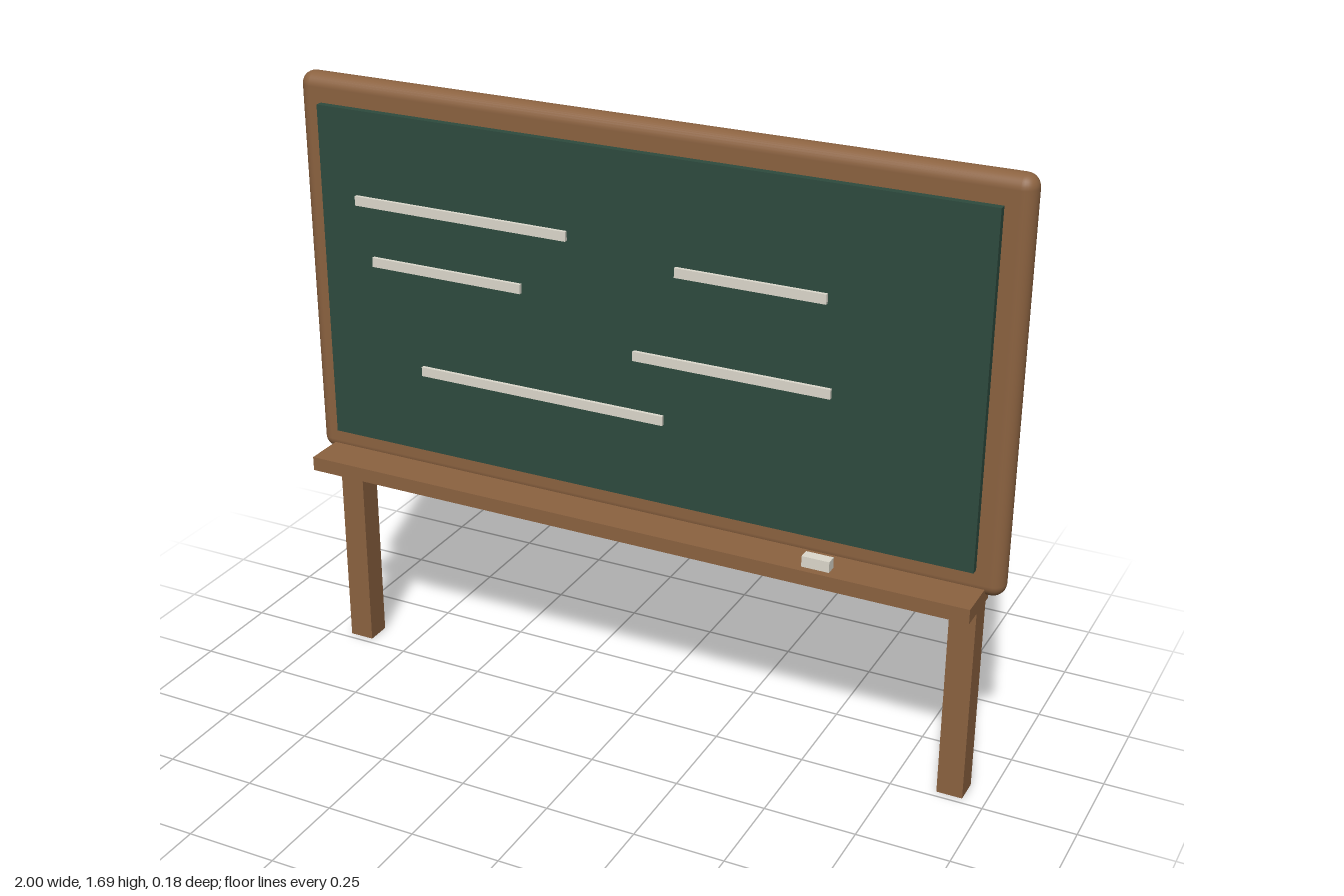
import * as THREE from 'three';
import { RoundedBoxGeometry } from 'three/addons/geometries/RoundedBoxGeometry.js';

export function createModel() {
  const model = new THREE.Group();
  model.name = 'chalkboard';

  const wood = new THREE.MeshStandardMaterial({ color: 0x8b6240 });
  const slate = new THREE.MeshStandardMaterial({ color: 0x2d4a3e });
  const chalk = new THREE.MeshStandardMaterial({ color: 0xdcd8cc });

  function add(name, geometry, material, x, y, z) {
    const mesh = new THREE.Mesh(geometry, material);
    mesh.name = name;
    mesh.position.set(x, y, z);
    model.add(mesh);
  }

  // Box given by its extents along each axis
  function addBox(name, material, [x0, x1], [y0, y1], [z0, z1]) {
    add(name, new THREE.BoxGeometry(x1 - x0, y1 - y0, z1 - z0), material,
      (x0 + x1) / 2, (y0 + y1) / 2, (z0 + z1) / 2);
  }

  // Rounded wooden frame and the writing surface set on its front
  add('frame', new RoundedBoxGeometry(2, 1.09, 0.07, 4, 0.035), wood, 0, 1.14, -0.055);
  addBox('writingSurface', slate, [-0.93, 0.93], [0.67, 1.61], [-0.035, 0]);

  // Chalk tray and a stick of chalk lying on it
  addBox('chalkTray', wood, [-0.955, 0.955], [0.58, 0.62], [-0.055, 0.09]);
  addBox('chalkStick', chalk, [0.505, 0.58], [0.62, 0.65], [0.04, 0.07]);

  // Legs
  for (const [name, side] of [['leftLeg', 1], ['rightLeg', -1]]) {
    add(name, new THREE.BoxGeometry(0.07, 0.62, 0.07), wood, side * 0.905, 0.31, -0.055);
  }

  // Chalk strokes: start x, end x, height
  const strokes = [
    [-0.82, -0.19, 1.365],
    [-0.775, -0.325, 1.2],
    [0.115, 0.52, 1.32],
    [0, 0.54, 1.075],
    [-0.635, 0.085, 0.91],
  ];
  strokes.forEach(([x0, x1, y], i) => {
    addBox(`chalkStroke${i + 1}`, chalk, [x0, x1], [y - 0.013, y + 0.013], [-0.005, 0.01]);
  });

  return model;
}
